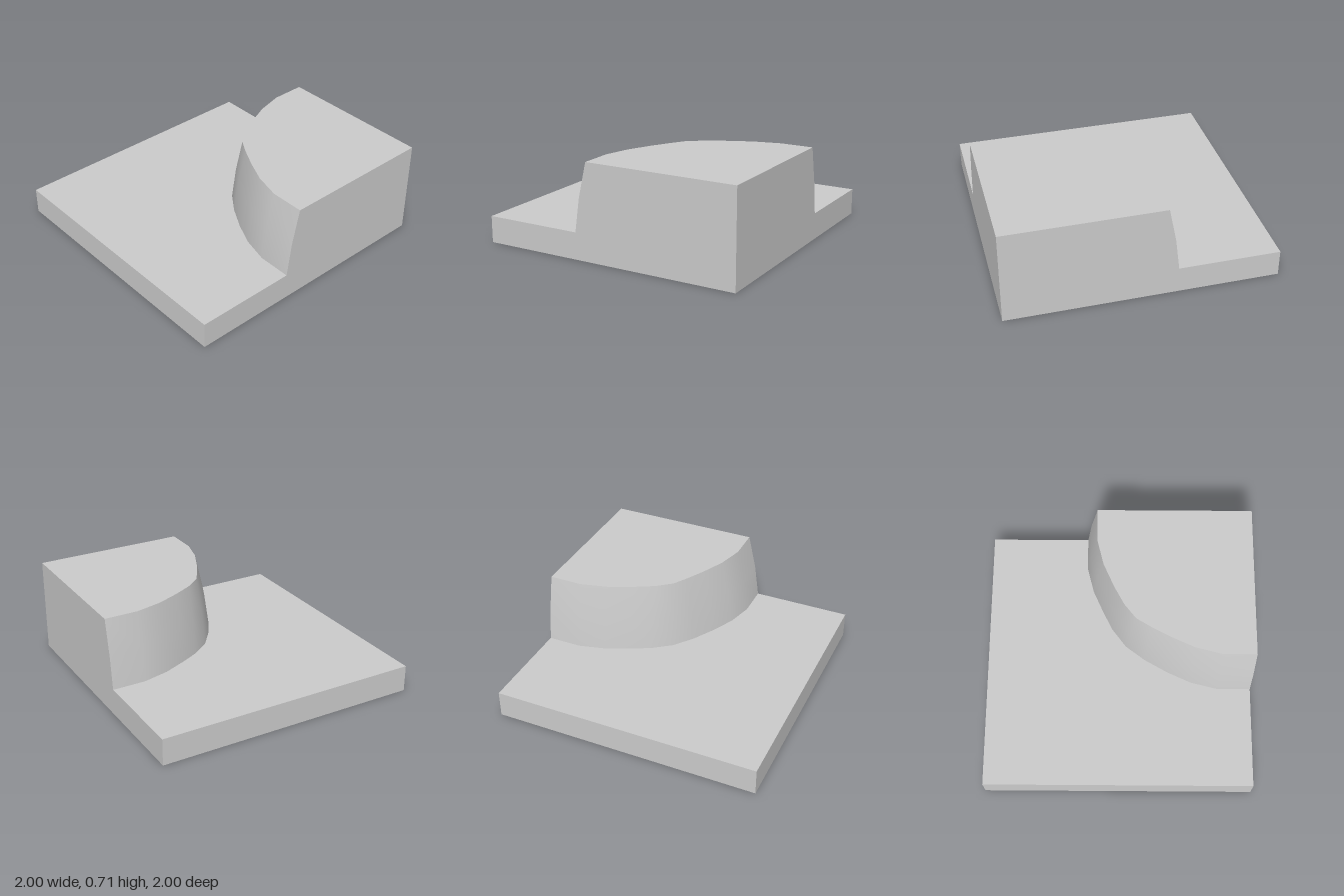
import * as THREE from 'three';

const BASE_H = 0.2, TOP_H = 0.715, MID_H = 0.45;

// Curved wall outlines as [x, z], from the back edge round to the left edge
const FOOT = [[-0.25, -1], [-0.25, -0.75], [-0.2, -0.55], [-0.12, -0.37], [-0.05, -0.23], [0.055, -0.09],
  [0.2, 0.02], [0.375, 0.12], [0.55, 0.2], [0.75, 0.25], [1, 0.25]];
const RIM = [[-0.165, -1], [-0.165, -0.75], [-0.115, -0.55], [-0.035, -0.37], [0.04, -0.23], [0.128, -0.12],
  [0.235, -0.055], [0.375, 0.02], [0.55, 0.1], [0.75, 0.152], [1, 0.152]];
const MIDDLE = FOOT.map(([x, z], i) => [x + (RIM[i][0] - x) * 0.37, z + (RIM[i][1] - z) * 0.37]);
const RINGS = [[FOOT, BASE_H], [MIDDLE, MID_H], [RIM, TOP_H]];

// Smooth leaning wall lofted through the three outlines
function wallGeometry() {
  const n = FOOT.length;
  const positions = RINGS.flatMap(([ring, y]) => ring.flatMap(([x, z]) => [x, y, z]));
  const index = [];
  for (let r = 0; r < RINGS.length - 1; r++) {
    for (let i = 0; i < n - 1; i++) {
      const a = r * n + i, b = a + 1, c = a + n, d = c + 1;
      index.push(a, b, c, b, d, c);
    }
  }
  const geometry = new THREE.BufferGeometry();
  geometry.setAttribute('position', new THREE.Float32BufferAttribute(positions, 3));
  geometry.setIndex(index);
  geometry.computeVertexNormals();
  return geometry;
}

const flatFace = (points) =>
  new THREE.ShapeGeometry(new THREE.Shape(points.map(([u, v]) => new THREE.Vector2(u, v))));

export function createModel() {
  const model = new THREE.Group();
  const material = new THREE.MeshStandardMaterial({ color: 0xcccccc });
  const add = (parent, name, geometry) => {
    const mesh = new THREE.Mesh(geometry, material);
    mesh.name = name;
    parent.add(mesh);
  };

  // Square base plate
  add(model, 'basePlate', new THREE.BoxGeometry(2, BASE_H, 2).translate(0, BASE_H / 2, 0));

  // Raised corner block
  const block = new THREE.Group();
  block.name = 'cornerBlock';
  model.add(block);
  add(block, 'curvedWall', wallGeometry());

  // Flat top, closed through the back left corner
  const top = [...RIM, [1, -1]].map(([x, z]) => [x, -z]);
  add(block, 'topFace', flatFace(top).rotateX(-Math.PI / 2).translate(0, TOP_H, 0));

  // Flush outer faces, following the lean of the wall at each end
  const last = FOOT.length - 1;
  const leftEdge = RINGS.map(([ring, y]) => [-ring[last][1], y]);
  const backEdge = RINGS.map(([ring, y]) => [-ring[0][0], y]);
  add(block, 'leftFace', flatFace([...leftEdge, [1, TOP_H], [1, BASE_H]]).rotateY(Math.PI / 2).translate(1, 0, 0));
  add(block, 'backFace', flatFace([...backEdge, [-1, TOP_H], [-1, BASE_H]]).rotateY(Math.PI).translate(0, 0, -1));

  return model;
}
